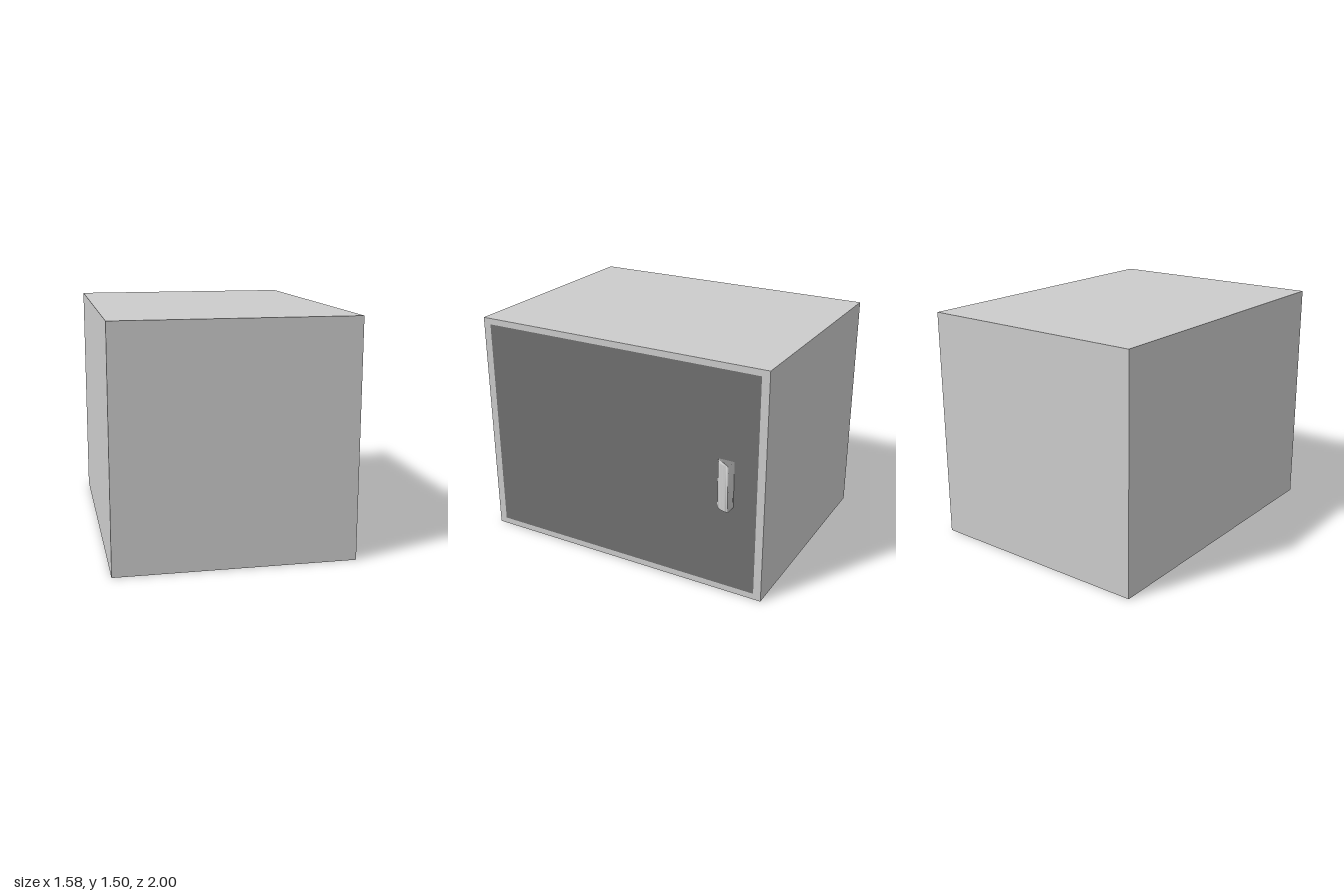
import * as THREE from 'three';
import { mergeVertices } from 'three/addons/utils/BufferGeometryUtils.js';

const W = 1.5, H = 1.5, D = 2;      // cabinet size in x, y, z
const FACE = 0.71;                  // x of the door side
const PW = 1.9, PH = 1.42;          // door panel width (z) and height

function part(name, geometry, material) {
  const mesh = new THREE.Mesh(geometry, material);
  mesh.name = name;
  return mesh;
}

function rect(Type, w, h) {
  return new Type([[-w, -h], [w, -h], [w, h], [-w, h]].map(([x, y]) => new THREE.Vector2(x / 2, y / 2)));
}

export function createModel() {
  const group = new THREE.Group();
  group.name = 'cabinet';
  const grey = new THREE.MeshStandardMaterial({ color: 0xcccccc });
  const dark = new THREE.MeshStandardMaterial({ color: 0x707070 });

  // Cabinet body: a box whose door side (+x, the first two triangles) is left off
  const bodyGeo = new THREE.BoxGeometry(W, H, D);
  bodyGeo.setIndex(Array.from(bodyGeo.index.array).slice(6));
  bodyGeo.clearGroups();
  bodyGeo.translate(FACE - W / 2, H / 2, 0);
  group.add(part('body', bodyGeo, grey));

  // Narrow frame round the door, flush with it
  const frameShape = rect(THREE.Shape, D, H);
  frameShape.holes.push(rect(THREE.Path, PW, PH));
  const frameGeo = new THREE.ShapeGeometry(frameShape).rotateY(Math.PI / 2).translate(FACE, H / 2, 0);
  group.add(part('doorFrame', frameGeo, grey));

  // Dark door panel
  const panelGeo = new THREE.PlaneGeometry(PW, PH).rotateY(Math.PI / 2).translate(FACE, H / 2, 0);
  group.add(part('doorPanel', panelGeo, dark));

  // Handle: upright quarter-round grip with softly blended normals
  const grip = new THREE.Shape();
  grip.moveTo(FACE, 0.8);
  grip.lineTo(FACE + 0.075, 0.8);
  grip.absellipse(FACE, 0.8, 0.075, 0.1, 0, -Math.PI / 2, true);
  let handleGeo = new THREE.ExtrudeGeometry(grip, { depth: 0.3, bevelEnabled: false, curveSegments: 10 });
  handleGeo.rotateX(-Math.PI / 2).translate(0, 0.6, 0);
  handleGeo.deleteAttribute('normal');
  handleGeo.deleteAttribute('uv');
  handleGeo = mergeVertices(handleGeo);
  handleGeo.computeVertexNormals();
  group.add(part('handle', handleGeo, grey));

  return group;
}
